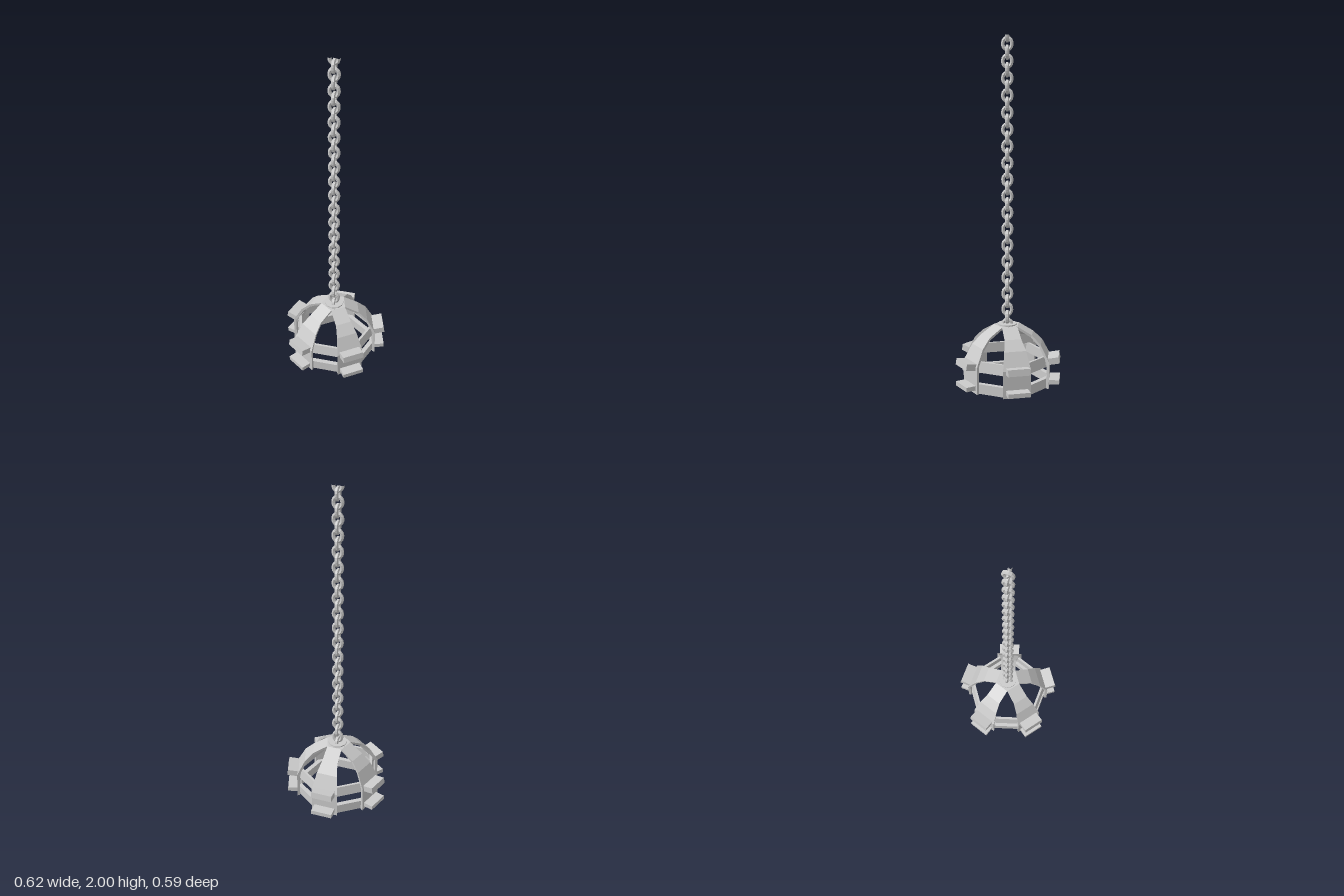
import * as THREE from 'three';

const material = new THREE.MeshStandardMaterial({ color: 0xcccccc, flatShading: true });

function addMesh(parent, name, geometry, x = 0, y = 0, z = 0) {
  const mesh = new THREE.Mesh(geometry, material);
  mesh.name = name;
  mesh.position.set(x, y, z);
  parent.add(mesh);
  return mesh;
}

// Solid lofted through rings of four corners
function loft(rings) {
  const index = [];
  for (let s = 0; s < rings.length - 1; s++) {
    for (let c = 0; c < 4; c++) {
      const a = s * 4 + c, b = s * 4 + (c + 1) % 4;
      index.push(a, b, b + 4, a, b + 4, a + 4);
    }
  }
  const e = (rings.length - 1) * 4;
  index.push(0, 2, 1, 0, 3, 2, e, e + 1, e + 2, e, e + 2, e + 3);
  const geometry = new THREE.BufferGeometry();
  geometry.setAttribute('position', new THREE.Float32BufferAttribute(rings.flat(2), 3));
  geometry.setIndex(index);
  const flat = geometry.toNonIndexed();
  flat.computeVertexNormals();
  return flat;
}

// Curved rib: radius, height, half width and outward slope of each section
function ribGeometry() {
  const thickness = 0.015;
  const sections = [
    [0.246, 0, 0.08, 0], [0.246, 0.16, 0.08, 0.25], [0.198, 0.255, 0.063, 0.9],
    [0.146, 0.308, 0.048, 1.1], [0.062, 0.357, 0.045, 1.4],
  ];
  return loft(sections.map(([r, y, w, slope]) => {
    const ri = r - thickness * Math.cos(slope), yi = y - thickness * Math.sin(slope), wi = w * 0.94;
    return [[-w, y, r], [w, y, r], [wi, yi, ri], [-wi, yi, ri]];
  }));
}

// Flat band bridging two ribs, mitred at its ends
function bandGeometry(y0, y1, outer0, outer1) {
  const inner = 0.197;
  const ring = (y, r) => {
    const w = 0.095 + (0.224 - r) * 0.8;
    return [[-w, y, r], [w, y, r], [0.118, y, inner], [-0.118, y, inner]];
  };
  return loft([ring(y0, outer0), ring(y1, outer1)]);
}

// Chain link in the xy plane; part is 'full', 'lower' or 'upper'
function linkGeometry(part) {
  const radius = 0.024, straight = 0.008, points = [];
  const arc = (from) => {
    for (let i = 0; i <= 4; i++) {
      const a = from + (i / 4) * Math.PI;
      points.push(new THREE.Vector3(radius * Math.cos(a),
        radius * Math.sin(a) + (from === 0 ? straight : -straight), 0));
    }
  };
  if (part === 'lower') points.push(new THREE.Vector3(-radius, 0, 0));
  if (part === 'upper') points.push(new THREE.Vector3(radius, 0, 0));
  if (part !== 'lower') arc(0);
  if (part !== 'upper') arc(Math.PI);
  if (part === 'lower') points.push(new THREE.Vector3(radius, 0, 0));
  if (part === 'upper') points.push(new THREE.Vector3(-radius, 0, 0));
  const closed = part === 'full';
  const curve = new THREE.CatmullRomCurve3(points, closed);
  return new THREE.TubeGeometry(curve, closed ? 14 : 8, 0.011, 6, closed);
}

export function createModel() {
  const model = new THREE.Group();
  model.name = 'hangingCage';
  const body = new THREE.Group();
  body.name = 'body';
  body.position.z = 0.008;
  model.add(body);

  const rib = ribGeometry();
  const upperBlock = new THREE.BoxGeometry(0.127, 0.038, 0.08);
  const lowerBlock = new THREE.BoxGeometry(0.127, 0.026, 0.08);
  const upperBand = bandGeometry(0.125, 0.185, 0.222, 0.211);
  const lowerBand = bandGeometry(0, 0.057, 0.224, 0.224);

  for (let i = 0; i < 5; i++) {
    const angle = Math.PI + (i * Math.PI * 2) / 5;

    // Rib with its two projecting blocks
    const arm = new THREE.Group();
    arm.name = 'arm';
    arm.rotation.y = angle;
    body.add(arm);
    addMesh(arm, 'rib', rib);
    addMesh(arm, 'upperBlock', upperBlock, 0, 0.161, 0.264).rotation.x = -0.17;
    addMesh(arm, 'lowerBlock', lowerBlock, 0, 0.035, 0.265);

    // Bands between neighbouring ribs
    const bands = new THREE.Group();
    bands.name = 'bands';
    bands.rotation.y = angle + Math.PI / 5;
    body.add(bands);
    addMesh(bands, 'upperBand', upperBand);
    addMesh(bands, 'lowerBand', lowerBand);
  }

  // Crown plate and collar
  addMesh(body, 'crown', new THREE.CylinderGeometry(0.077, 0.074, 0.015, 5), 0, 0.3495, 0);
  addMesh(body, 'collar', new THREE.CylinderGeometry(0.056, 0.056, 0.014, 10), 0, 0.357, 0);

  // Chain of alternating links, cut off at both ends
  const chain = new THREE.Group();
  chain.name = 'chain';
  body.add(chain);
  const fullLink = linkGeometry('full');
  const count = 36, pitch = 0.04705;
  for (let k = 0; k < count; k++) {
    const geometry = k === 0 ? linkGeometry('lower')
      : k === count - 1 ? linkGeometry('upper') : fullLink;
    const link = addMesh(chain, 'chainLink', geometry, 0, 2 - k * pitch, 0);
    if (k % 2) link.rotation.y = Math.PI / 2;
  }
  return model;
}
